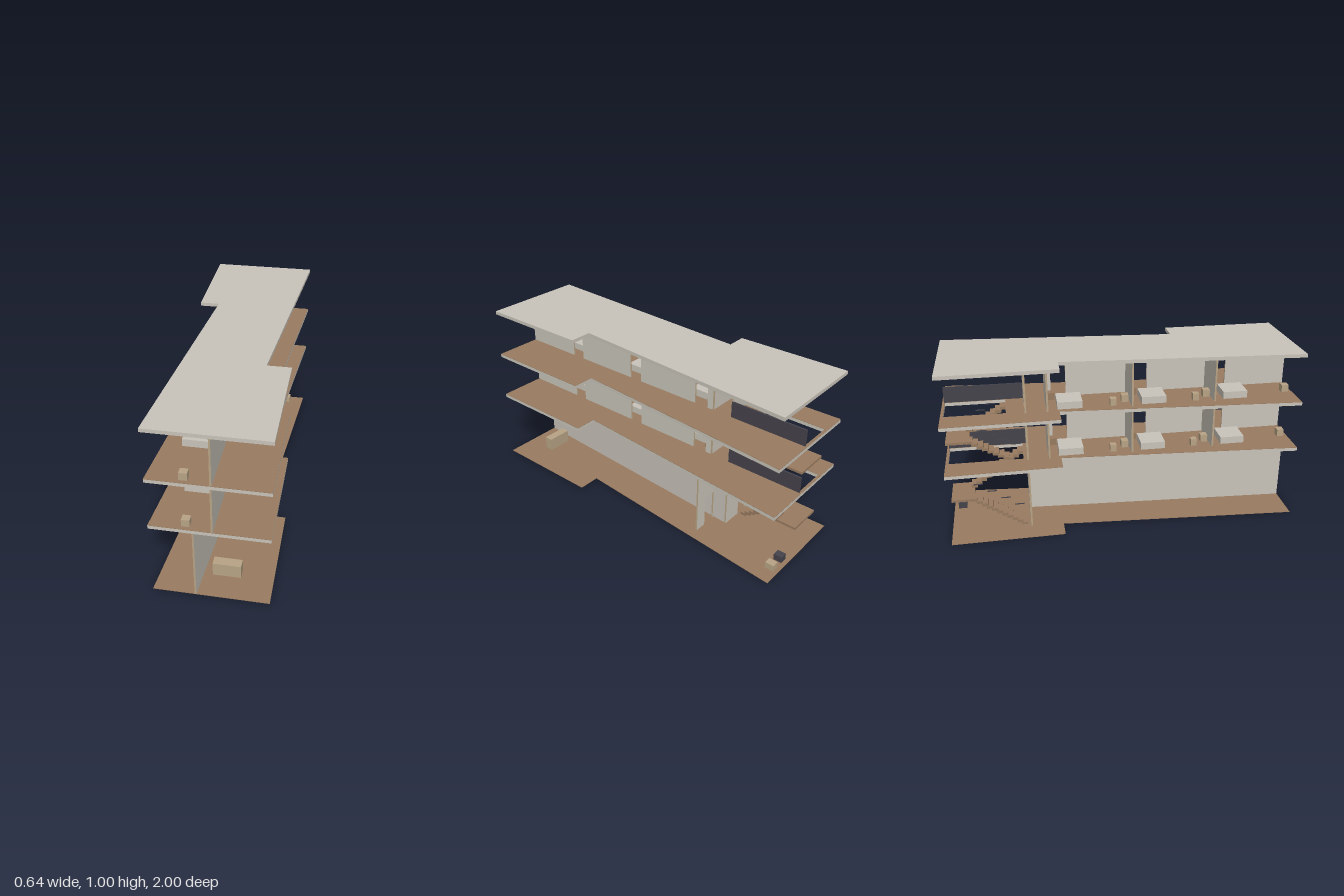
import * as THREE from 'three';

const mat = (name, color, extra = {}) => {
  const m = new THREE.MeshStandardMaterial({ color, ...extra });
  m.name = name;
  return m;
};

export function createModel() {
  const plaster = mat('plaster', 0xc9c4ba);
  const tan = mat('tan wood', 0xb8a486);
  const brown = mat('brown wood', 0x997b60);
  const dark = mat('dark metal', 0x45434b);
  const model = new THREE.Group();
  model.name = 'building';

  const add = (parent, name, geometry, material) => {
    const mesh = new THREE.Mesh(geometry, material);
    mesh.name = name;
    parent.add(mesh);
    return mesh;
  };

  // Box given by its minimum and maximum on each axis
  const box = (parent, name, material, [x0, x1], [y0, y1], [z0, z1]) => {
    const m = add(parent, name, new THREE.BoxGeometry(x1 - x0, y1 - y0, z1 - z0), material);
    m.position.set((x0 + x1) / 2, (y0 + y1) / 2, (z0 + z1) / 2);
    return m;
  };

  // Floor plan as x, z corners, with an optional stairwell
  const plan = [[-0.29, 1], [0.32, 1], [0.32, 0.34], [0.19, 0.34],
    [0.29, -1], [-0.32, -1], [-0.31, -0.36], [-0.2, -0.36]];
  const planShape = (wellEnd) => {
    const toShape = (p) => new THREE.Vector2(p[0], -p[1]);
    const shape = new THREE.Shape(plan.map(toShape));
    if (wellEnd) {
      const well = [[-0.175, -0.985], [0.025, -0.985], [0.025, wellEnd], [-0.175, wellEnd]];
      shape.holes.push(new THREE.Path(well.map(toShape)));
    }
    return shape;
  };
  const slab = (name, y, height, material, wellEnd) => {
    const g = new THREE.ExtrudeGeometry(planShape(wellEnd), { depth: height, bevelEnabled: false });
    g.rotateX(-Math.PI / 2);
    add(model, name, g, material).position.y = y;
  };

  // Wall between two plan points; doors are [start, end] along it; cut edges are tan
  const T = 0.01, DOOR = 0.19;
  const wall = (parent, name, [x0, z0], [x1, z1], y, height, doors = []) => {
    const length = Math.hypot(x1 - x0, z1 - z0);
    const s = new THREE.Shape();
    s.moveTo(0, 0);
    for (const [a, b] of doors) {
      s.lineTo(a, 0);
      s.lineTo(a, DOOR);
      s.lineTo(b, DOOR);
      s.lineTo(b, 0);
    }
    s.lineTo(length, 0);
    s.lineTo(length, height);
    s.lineTo(0, height);
    const g = new THREE.ExtrudeGeometry(s, { depth: T, bevelEnabled: false });
    g.translate(0, 0, -T / 2);
    const m = add(parent, name, g, [plaster, tan]);
    m.position.set(x0, y, z0);
    m.rotation.y = Math.atan2(z0 - z1, x1 - x0);
  };

  // Slabs and floor coverings
  const F1 = 0.436, F2 = 0.721, ROOF = 0.985;
  slab('groundFloor', 0, 0.003, brown);
  slab('firstSlab', 0.415, 0.019, plaster, -0.57);
  slab('firstFloor', 0.434, 0.002, brown, -0.57);
  slab('secondSlab', 0.7, 0.019, plaster, -0.65);
  slab('secondFloor', 0.719, 0.002, brown, -0.65);
  slab('roof', ROOF, 0.02, plaster);

  // Ground storey: slanted long wall, entrance wall and stair wall
  const ground = new THREE.Group();
  ground.name = 'groundStorey';
  model.add(ground);
  wall(ground, 'longWall', [-0.065, 1], [0.022, -0.54], 0, 0.415);
  wall(ground, 'entranceWall', [0.03, -0.455], [0.187, -0.455], 0, 0.415, [[0.005, 0.087]]);
  wall(ground, 'stairWall', [-0.195, -0.545], [0.03, -0.545], 0, 0.415, [[0.025, 0.105]]);
  box(ground, 'counter', tan, [-0.005, 0.147], [0, 0.082], [0.8, 0.853]);
  box(ground, 'tanSeat', tan, [0.155, 0.198], [0, 0.04], [-0.975, -0.925]);
  box(ground, 'darkSeat', dark, [0.07, 0.113], [0, 0.04], [-0.975, -0.925]);

  // Upper storeys: corridor wall, three rooms with furniture, balustrade
  for (const [y, top] of [[F1, 0.7], [F2, ROOF]]) {
    const storey = new THREE.Group();
    storey.name = 'upperStorey';
    model.add(storey);
    const h = top - y;
    wall(storey, 'corridorWall', [0.03, 1], [0.03, -0.425], y, h,
      [[0.362, 0.442], [0.833, 0.913], [1.305, 1.39]]);
    wall(storey, 'stairWall', [-0.195, -0.545], [0.03, -0.545], y, h, [[0.025, 0.105]]);
    for (let i = 0; i < 3; i++) {
      const z = -0.425 + i * 0.472;
      const furniture = [y, y + 0.041];
      wall(storey, 'roomPartition', [-0.195, z], [0.025, z], y, h);
      box(storey, 'bed', plaster, [-0.173, -0.035], furniture, [z + 0.055, z + 0.195]);
      box(storey, 'nightstand', brown, [-0.03, 0.015], furniture, [z + 0.008, z + 0.052]);
      box(storey, 'tableBox', tan, [-0.126, -0.084], furniture, [z + 0.42, z + 0.46]);
      if (i < 2) box(storey, 'stool', tan, [-0.17, -0.135], furniture, [z + 0.35, z + 0.385]);
    }
    box(storey, 'balustrade', dark, [0.025, 0.035], [y, y + 0.092], [-0.99, -0.545]);
  }

  // Switchback stairs: two flights of steps, a landing and short rail bars
  const stairs = (y0, y1, steps, zStart) => {
    const group = new THREE.Group();
    group.name = 'stairs';
    model.add(group);
    const mid = (y0 + y1) / 2 - 0.008;
    const zEnd = -0.875;
    const tread = (zStart - zEnd) / steps;
    const flights = [[-0.172, -0.1, y0, mid, false], [-0.042, 0.03, mid, y1, true]];
    for (const [x0, x1, bottom, top, back] of flights) {
      const rise = (top - bottom) / steps;
      for (let i = 0; i < steps; i++) {
        const z = back ? zEnd + i * tread : zStart - (i + 1) * tread;
        const y = bottom + (i + 1) * rise;
        box(group, 'step', brown, [x0, x1], [y - rise, y], [z - 0.004, z + tread + 0.004]);
      }
      for (let i = 0; i < 4; i++) {
        const t = (i + 0.5) / 4;
        const z = back ? zEnd + t * (zStart - zEnd) : zStart + t * (zEnd - zStart);
        const y = bottom + t * (top - bottom) + 0.075;
        const x = back ? -0.042 : -0.1;
        box(group, 'railBar', dark, [x - 0.003, x + 0.003], [y, y + 0.004], [z - 0.027, z + 0.027]);
      }
    }
    box(group, 'landing', brown, [-0.172, 0.03], [mid - 0.014, mid], [-0.99, -0.86]);
  };
  stairs(0, F1 - 0.018, 11, -0.57);
  stairs(F1, F2 - 0.018, 8, -0.65);

  return model;
}
